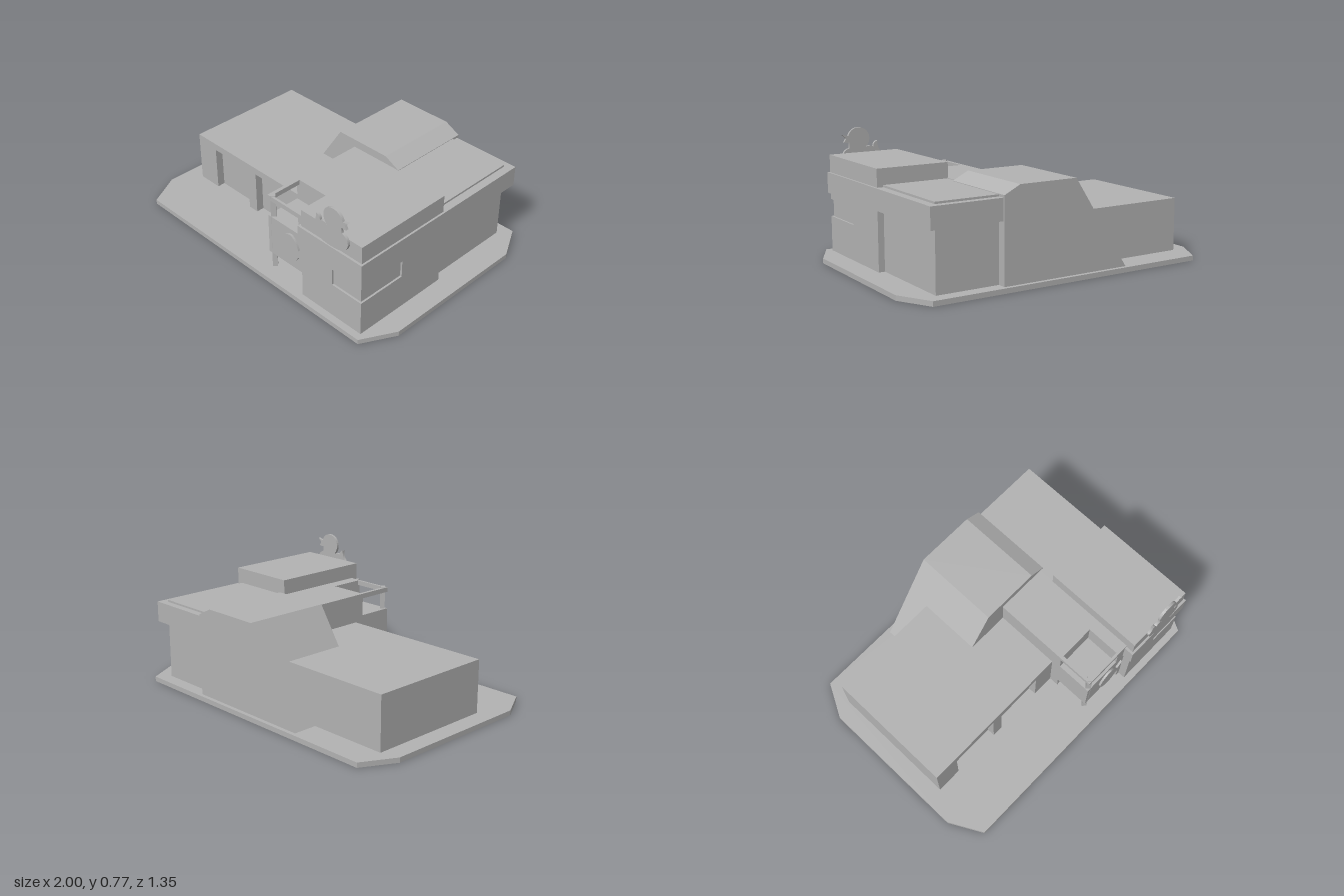
import * as THREE from 'three';

export function createModel() {
  const model = new THREE.Group();
  model.name = 'building';
  const grey = new THREE.MeshStandardMaterial({ color: 0xb2b2b2 });
  grey.name = 'plain grey';

  const add = (name, geometry) => {
    const mesh = new THREE.Mesh(geometry, grey);
    mesh.name = name;
    model.add(mesh);
    return mesh;
  };
  // box given by its limits on each axis
  const box = (name, x0, x1, y0, y1, z0, z1) =>
    add(name, new THREE.BoxGeometry(x1 - x0, y1 - y0, z1 - z0)
      .translate((x0 + x1) / 2, (y0 + y1) / 2, (z0 + z1) / 2));
  const outline = (pts) => new THREE.Shape(pts.map(([x, y]) => new THREE.Vector2(x, y)));
  // outline in x, y pushed out from z0 to z1
  const upright = (name, shape, z0, z1) =>
    add(name, new THREE.ExtrudeGeometry(shape, { depth: z1 - z0, bevelEnabled: false, curveSegments: 10 })
      .translate(0, 0, z0));
  // outline in x, z raised from y0 to y1
  const flat = (name, pts, y0, y1) =>
    add(name, new THREE.ExtrudeGeometry(outline(pts.map(([x, z]) => [x, -z])), { depth: y1 - y0, bevelEnabled: false })
      .rotateX(-Math.PI / 2).translate(0, y0, 0));

  const G = 0.03; // top of the base

  // base plate with cut corners
  flat('basePlate', [[-1, 0.47], [-0.89, 0.675], [0.89, 0.675], [1, 0.47],
    [1, -0.47], [0.89, -0.675], [-0.89, -0.675], [-1, -0.47]], 0, G);

  // garage with two recessed doorways
  box('garage', -0.89, 0.09, G, 0.355, -0.5, 0.25);
  upright('garageFront', outline([[-0.89, G], [-0.73, G], [-0.73, 0.31], [-0.42, 0.31], [-0.42, G],
    [-0.35, G], [-0.35, 0.31], [-0.05, 0.31], [-0.05, G], [0.09, G], [0.09, 0.355], [-0.89, 0.355]]), 0.25, 0.3);

  // sloped hall at the back
  upright('slopedHall', outline([[-0.39, G], [0.44, G], [0.44, 0.53], [0.34, 0.58], [-0.03, 0.58]]), -0.65, -0.11);

  // middle and rear wing
  box('middleBlock', 0.09, 0.42, G, 0.53, -0.2, 0.36);
  box('rearWing', 0.4, 0.83, G, 0.527, -0.595, 0);
  box('roofBand', 0.4, 0.88, 0.388, 0.515, -0.638, 0.646);

  // corner tower with a recessed window round the corner
  box('towerBase', 0.415, 0.868, G, 0.245, -0.008, 0.632);
  flat('towerWindowLevel', [[0.415, -0.008], [0.415, 0.632], [0.65, 0.632], [0.65, 0.62],
    [0.856, 0.62], [0.856, 0.315], [0.868, 0.315], [0.868, -0.008]], 0.245, 0.35);
  box('towerTop', 0.415, 0.868, 0.35, 0.622, -0.008, 0.632);

  // open porch: balcony box, pillar, roof frame and corner post
  box('balcony', 0.09, 0.42, 0.13, 0.39, 0.36, 0.585);
  box('porchSideWall', 0.39, 0.42, G, 0.13, 0.36, 0.585);
  box('porchPillar', 0.34, 0.42, 0.39, 0.53, 0.36, 0.585);
  box('porchRoofSide', 0.09, 0.112, 0.5, 0.53, 0.36, 0.585);
  box('porchRoofFront', 0.112, 0.34, 0.5, 0.53, 0.57, 0.585);
  const post = new THREE.CylinderGeometry(0.021, 0.021, 0.505, 4).toNonIndexed();
  post.computeVertexNormals();
  add('porchPost', post.translate(0.114, G + 0.2525, 0.565));

  // fish plaque on the balcony
  const fish = new THREE.Shape();
  fish.moveTo(0.2, 0.27);
  fish.quadraticCurveTo(0.22, 0.36, 0.29, 0.36);
  fish.quadraticCurveTo(0.33, 0.34, 0.35, 0.28);
  fish.lineTo(0.39, 0.33);
  fish.lineTo(0.38, 0.26);
  fish.lineTo(0.39, 0.19);
  fish.lineTo(0.35, 0.24);
  fish.quadraticCurveTo(0.32, 0.17, 0.27, 0.17);
  fish.quadraticCurveTo(0.21, 0.19, 0.2, 0.27);
  upright('fishPlaque', fish, 0.585, 0.598);

  // duck cut-out on the tower
  const duck = new THREE.Shape();
  duck.moveTo(0.548, 0.686);
  duck.quadraticCurveTo(0.575, 0.68, 0.577, 0.65);
  duck.quadraticCurveTo(0.6, 0.665, 0.628, 0.65);
  duck.bezierCurveTo(0.58, 0.69, 0.6, 0.775, 0.675, 0.775);
  duck.quadraticCurveTo(0.725, 0.773, 0.743, 0.725);
  duck.lineTo(0.782, 0.735);
  duck.lineTo(0.757, 0.712);
  duck.lineTo(0.77, 0.688);
  duck.quadraticCurveTo(0.745, 0.678, 0.738, 0.69);
  duck.quadraticCurveTo(0.732, 0.665, 0.738, 0.65);
  duck.quadraticCurveTo(0.78, 0.64, 0.782, 0.595);
  duck.bezierCurveTo(0.775, 0.54, 0.72, 0.525, 0.66, 0.525);
  duck.bezierCurveTo(0.58, 0.525, 0.525, 0.54, 0.525, 0.62);
  duck.quadraticCurveTo(0.55, 0.64, 0.548, 0.686);
  upright('duckCutout', duck, 0.632, 0.648);

  return model;
}
